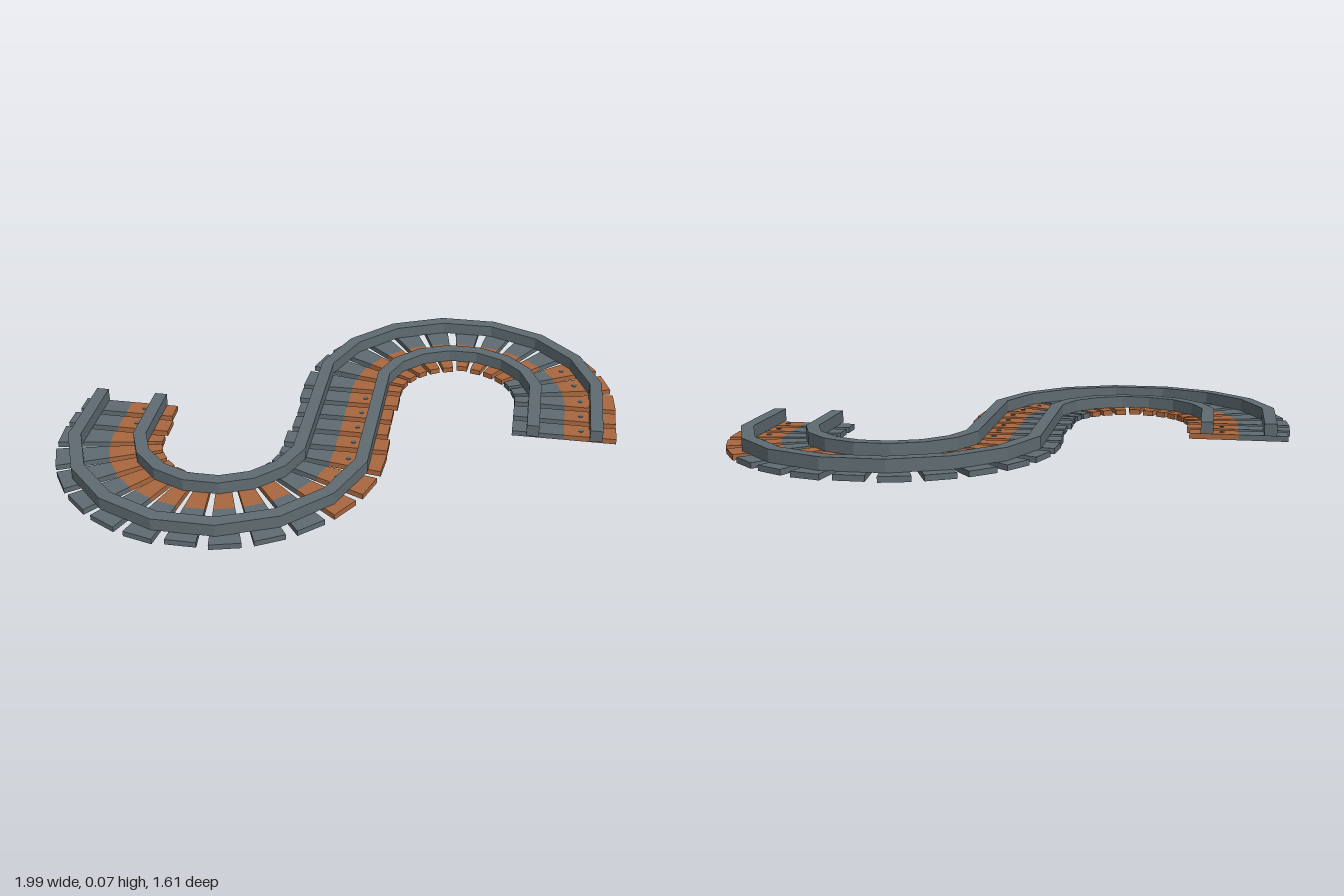
import * as THREE from 'three';

const R = 0.4025;          // bend radius of the track centre line
const STRAIGHT = 0.22;     // straight run before and after each bend
const HALF = 2 * STRAIGHT + Math.PI * R;
const TIES = 34;
const TIE_H = 0.02, RAIL_H = 0.045, RAIL_W = 0.045, GAUGE = 0.113;

const V = (x, y) => new THREE.Vector2(x, y);

// Plan drawing (x, -z) raised into a flat solid standing on y
function slab(points, y, height) {
  const g = new THREE.ExtrudeGeometry(new THREE.Shape(points), { depth: height, bevelEnabled: false });
  return g.rotateX(-Math.PI / 2).translate(0, y, 0);
}

// Point, outward normal and curvature at distance s along the S-shaped centre line
function frame(s) {
  if (s > HALF) {
    const f = frame(2 * HALF - s);
    return { p: f.p.negate(), n: f.n.negate(), k: f.k };
  }
  if (s < STRAIGHT) return { p: V(2 * R, s), n: V(1, 0), k: 0 };
  const a = (s - STRAIGHT) / R;
  if (a > Math.PI) return { p: V(0, HALF - s), n: V(-1, 0), k: 0 };
  const n = V(Math.cos(a), Math.sin(a));
  return { p: V(R, STRAIGHT).addScaledVector(n, R), n, k: 1 / R };
}

// Faceted centre line: each bend has eight steps
function centreLine() {
  const bend = [];
  const r = R / Math.cos(Math.PI / 16);
  for (let i = 0; i < 8; i++) {
    const a = (i + 0.5) * Math.PI / 8;
    bend.push(V(R + r * Math.cos(a), STRAIGHT + r * Math.sin(a)));
  }
  const back = bend.map(p => p.clone().negate()).reverse();
  return [V(2 * R, -0.01), ...bend, ...back, V(-2 * R, -0.01)];
}

// Parallel copy of a polyline with mitred corners
function offset(line, d) {
  return line.map((p, i) => {
    const a = line[Math.max(i - 1, 0)], b = line[Math.min(i + 1, line.length - 1)];
    const t1 = (i > 0 ? p.clone().sub(a) : b.clone().sub(p)).normalize();
    const t2 = (i < line.length - 1 ? b.clone().sub(p) : t1.clone()).normalize();
    const n1 = V(t1.y, -t1.x), n2 = V(t2.y, -t2.x);
    const m = n1.clone().add(n2).normalize();
    return p.clone().addScaledVector(m, d / m.dot(n1));
  });
}

export function createModel() {
  const steel = new THREE.MeshStandardMaterial({ color: 0x5f6c72 });
  steel.name = 'slate grey';
  const rust = new THREE.MeshStandardMaterial({ color: 0xa9683f });
  rust.name = 'rust brown';

  const model = new THREE.Group();
  model.name = 'curvedTrack';
  const add = (parent, name, geometry, material) => {
    const mesh = new THREE.Mesh(geometry, material);
    mesh.name = name;
    parent.add(mesh);
    return mesh;
  };

  // Two rails following the centre line
  const line = centreLine();
  for (const [name, d] of [['railA', GAUGE], ['railB', -GAUGE]]) {
    const outline = [...offset(line, d + RAIL_W / 2), ...offset(line, d - RAIL_W / 2).reverse()];
    add(model, name, slab(outline, TIE_H, RAIL_H), steel);
  }

  // Ties: wedge-shaped in the bends, one half grey and one half brown
  const ties = new THREE.Group();
  ties.name = 'ties';
  model.add(ties);
  const margin = 0.052;
  const shortTies = [8, 16, 17, 25, 33];
  for (let i = 0; i < TIES; i++) {
    const { p, n, k } = frame(margin + i * (2 * HALF - 2 * margin) / (TIES - 1));
    const t = V(-n.y, n.x);
    const reach = shortTies.includes(i) ? 0.176 : 0.187;
    const corner = (o, side) => p.clone().addScaledVector(n, o)
      .addScaledVector(t, side * 0.0365 * (1 + k * o));
    const half = (from, to) => slab(
      [corner(from, -1), corner(to, -1), corner(to, 1), corner(from, 1)], 0, TIE_H);
    const rustSide = n.x > 0.75 ? 1 : -1;
    const tie = new THREE.Group();
    tie.name = 'tie' + (i + 1);
    ties.add(tie);
    add(tie, 'outerHalf', half(0, reach), rustSide > 0 ? rust : steel);
    add(tie, 'innerHalf', half(-reach, 0), rustSide > 0 ? steel : rust);

    // Small bolt head on the brown half
    if (n.x > 0.8 || k === 0) {
      const c = p.clone().addScaledVector(n, rustSide * 0.06);
      const bolt = add(tie, 'bolt', new THREE.CylinderGeometry(0.009, 0.009, 0.003, 8), steel);
      bolt.position.set(c.x, TIE_H + 0.001, -c.y);
    }
  }
  return model;
}
